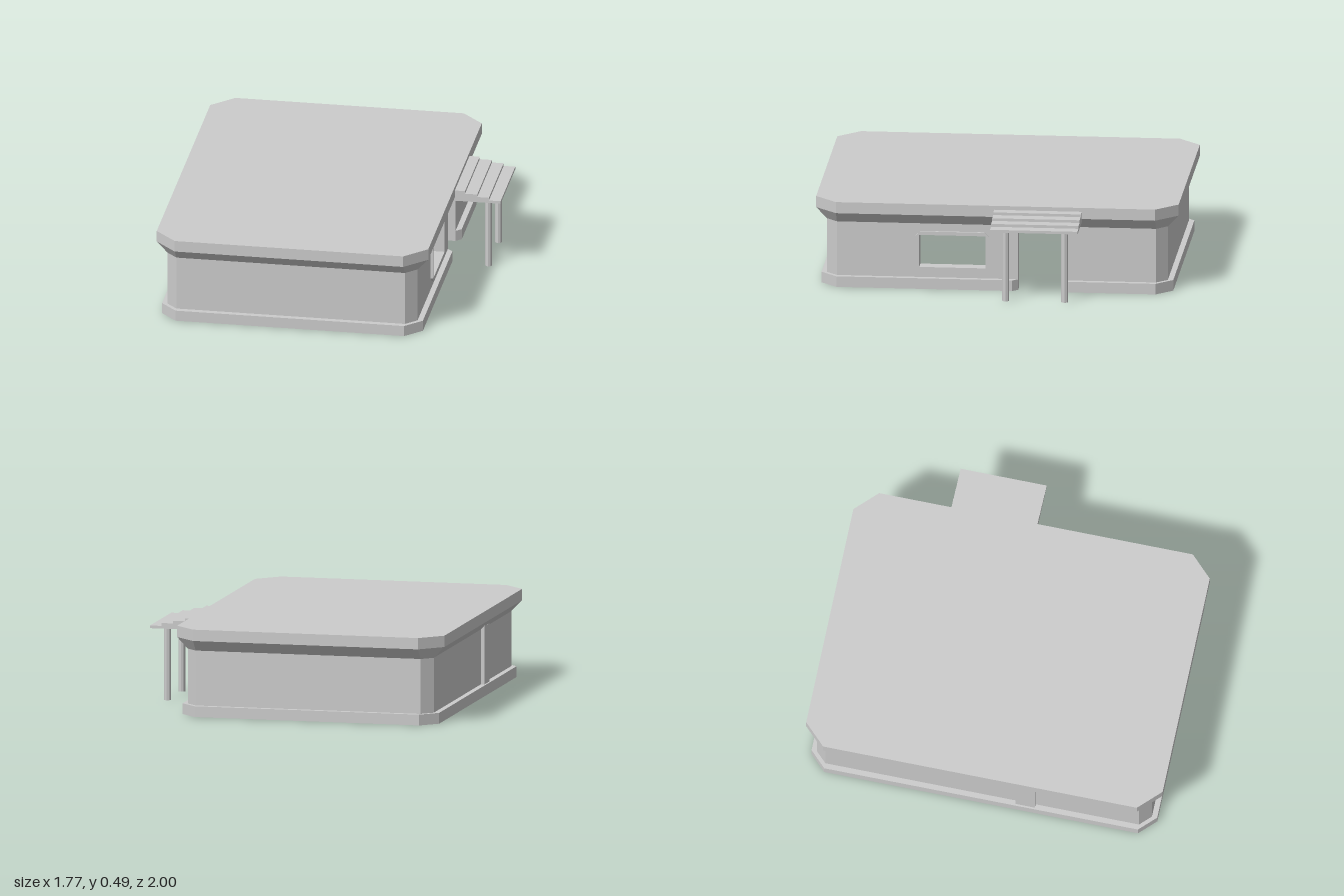
import * as THREE from 'three';

const mat = new THREE.MeshStandardMaterial({ color: 0xcccccc, flatShading: true });
const thin = new THREE.MeshStandardMaterial({ color: 0xcccccc, flatShading: true, side: THREE.DoubleSide });

// Inner room rectangle; every outer outline is this rectangle pushed out by d with cut corners
const X0 = -0.765, X1 = 0.508, Z = 0.88;
const WALL = 0.06, BASE = 0.09, ROOF = 0.12;
const DOOR_FRONT = -0.12, DOOR_BACK = -0.37, WALL_TOP = 0.365, CEILING = 0.47, TOP = 0.49;

// Outline as [x, z], from the back end of the right side, round the back and left, to its front end
const outline = (d) => [
  [X1 + d, -Z], [X1, -Z - d], [X0, -Z - d], [X0 - d, -Z],
  [X0 - d, Z], [X0, Z + d], [X1, Z + d], [X1 + d, Z],
];

const shapeOf = (pts) => new THREE.Shape(pts.map(([a, b]) => new THREE.Vector2(a, b)));

function add(group, name, geometry, material = mat) {
  const mesh = new THREE.Mesh(geometry, material);
  mesh.name = name;
  group.add(mesh);
  return mesh;
}

// Extrude a floor plan of [x, z] points upward
function planGeometry(pts, y, height) {
  const g = new THREE.ExtrudeGeometry(shapeOf(pts.map(([x, z]) => [x, -z])), { depth: height, bevelEnabled: false });
  return g.rotateX(-Math.PI / 2).translate(0, y, 0);
}

// Extrude a side elevation of [z, y] points along x, with a hole
function sideGeometry(pts, hole, x, depth) {
  const flip = (list) => list.map(([z, y]) => [-z, y]).reverse();
  const shape = shapeOf(flip(pts));
  shape.holes.push(shapeOf(flip(hole)));
  return new THREE.ExtrudeGeometry(shape, { depth, bevelEnabled: false }).rotateY(Math.PI / 2).translate(x, 0, 0);
}

// Skin a profile of [offset, y] steps round the outline
function loftGeometry(profile) {
  const pos = [], n = 8;
  const rings = profile.map(([d, y]) => outline(d).map(([x, z]) => [x, y, z]));
  for (let r = 0; r < rings.length - 1; r++) {
    for (let i = 0; i < n; i++) {
      const j = (i + 1) % n;
      const a = rings[r][i], b = rings[r][j], c = rings[r + 1][j], e = rings[r + 1][i];
      pos.push(...a, ...b, ...c, ...a, ...c, ...e);
    }
  }
  const g = new THREE.BufferGeometry();
  g.setAttribute('position', new THREE.Float32BufferAttribute(pos, 3));
  g.computeVertexNormals();
  return g;
}

export function createModel() {
  const model = new THREE.Group();
  model.name = 'building';

  // Walls: hollow plan, open along the right side for the window panel and doorway
  const join = 0.5;
  add(model, 'walls', planGeometry([
    [X1 + WALL, DOOR_BACK], ...outline(WALL), [X1 + WALL, join], [X1, join],
    [X1, Z], [X0, Z], [X0, -Z], [X1, -Z], [X1, DOOR_BACK],
  ], 0, WALL_TOP));

  // Right wall panel with the window opening
  const opening = [[0.06, 0.12], [0.425, 0.12], [0.425, 0.302], [0.06, 0.302]];
  add(model, 'windowWall', sideGeometry(
    [[DOOR_FRONT, 0], [join, 0], [join, WALL_TOP], [DOOR_FRONT, WALL_TOP]], opening, X1, WALL));

  // Window frame with cut corners
  const a = 0.04, b = 0.445, lo = 0.1, hi = 0.322, c = 0.025;
  add(model, 'windowFrame', sideGeometry([
    [a + c, lo], [b - c, lo], [b, lo + c], [b, hi - c], [b - c, hi], [a + c, hi], [a, hi - c], [a, lo + c],
  ], opening, 0.56, 0.02));

  // Plinth, splayed back to the wall face at the doorway
  const mid = 0.03, face = X1 + WALL, out = X1 + BASE;
  add(model, 'plinth', planGeometry([
    [X1 + mid, DOOR_BACK], [face, DOOR_BACK], [out, DOOR_BACK - 0.03], ...outline(BASE),
    [out, DOOR_FRONT + 0.03], [face, DOOR_FRONT], [X1 + mid, DOOR_FRONT],
    ...outline(mid).reverse(),
  ], 0, 0.06));

  // Flared cornice, flat roof and the ceiling just below it
  add(model, 'cornice', loftGeometry([[0, CEILING], [0, WALL_TOP], [WALL, WALL_TOP], [ROOF, 0.427], [ROOF, TOP]]), thin);
  const slab = (d) => new THREE.ShapeGeometry(shapeOf(outline(d).map(([x, z]) => [x, -z])));
  add(model, 'roof', slab(ROOF).rotateX(-Math.PI / 2).translate(0, TOP, 0));
  add(model, 'ceiling', new THREE.PlaneGeometry(X1 - X0, 2 * Z).rotateX(Math.PI / 2))
    .position.set((X0 + X1) / 2, CEILING, 0);

  // Shallow pilaster on the side opposite the door
  add(model, 'pilaster', new THREE.BoxGeometry(0.03, 0.33, 0.11)).position.set(-0.83, 0.22, 0.245);

  // Stepped porch canopy
  const steps = [[0.628, 0.685, 0.468], [0.685, 0.753, 0.453], [0.753, 0.818, 0.438], [0.818, 0.883, 0.422]];
  const profile = [[0.605, 0.407], [0.883, 0.407]];
  [...steps].reverse().forEach(([from, to, y]) => profile.push([to, y], [from, y]));
  const canopy = new THREE.ExtrudeGeometry(shapeOf(profile), { depth: 0.483, bevelEnabled: false });
  add(model, 'porchCanopy', canopy.translate(0, 0, -0.476));

  // Porch posts
  for (const z of [-0.072, -0.398]) {
    add(model, 'porchPost', new THREE.CylinderGeometry(0.019, 0.019, 0.407, 8)).position.set(0.803, 0.2035, z);
  }
  return model;
}
